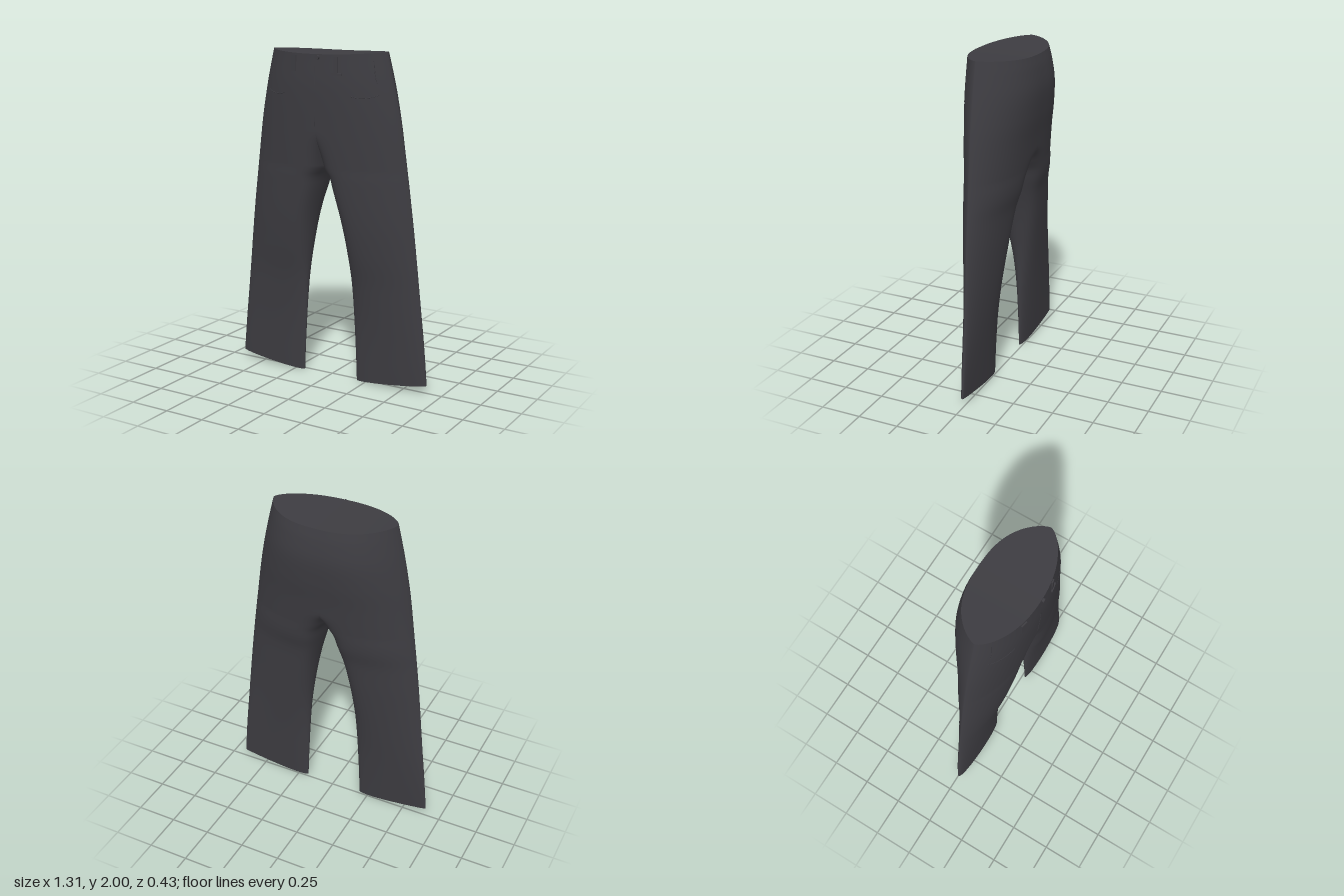
import * as THREE from 'three';

// Profiles by height: [y, value]
const OUTER = [[0, 0.655], [0.3, 0.63], [0.6, 0.6], [1, 0.556], [1.4, 0.502], [1.6, 0.472], [1.8, 0.432], [2, 0.384]];
const INNER = [[0, 0.188], [0.2, 0.18], [0.6, 0.157], [0.8, 0.135], [1, 0.102], [1.2, 0.05], [1.27, 0.03], [1.31, 0]];
const FRONT = [[0, 0.047], [0.3, 0.062], [0.6, 0.088], [0.8, 0.12], [1, 0.146], [1.3, 0.173], [1.55, 0.19], [1.8, 0.201], [2, 0.196]];
const BACK = [[0, -0.005], [0.3, -0.03], [0.6, -0.058], [0.9, -0.092], [1.1, -0.117], [1.2, -0.143], [1.3, -0.158], [1.5, -0.184], [1.65, -0.207], [1.8, -0.218], [1.93, -0.203], [2, -0.185]];
const CROTCH = 1.31;
const { clamp, lerp, smoothstep } = THREE.MathUtils;

// Smooth interpolation through a profile
function sample(table, y) {
  const last = table.length - 1;
  if (y >= table[last][0]) return table[last][1];
  let i = 0;
  while (i < last - 1 && y > table[i + 1][0]) i++;
  const slope = k => {
    const a = table[Math.max(k - 1, 0)], b = table[Math.min(k + 1, last)];
    return (b[1] - a[1]) / (b[0] - a[0]);
  };
  const [y0, v0] = table[i], [y1, v1] = table[i + 1];
  const h = y1 - y0, t = clamp((y - y0) / h, 0, 1), t2 = t * t, t3 = t2 * t;
  return (2 * t3 - 3 * t2 + 1) * v0 + (t3 - 2 * t2 + t) * h * slope(i)
    + (3 * t2 - 2 * t3) * v1 + (t3 - t2) * h * slope(i + 1);
}

// Point on the cloth: u runs from the inseam or centre (0) to the side seam (1)
function clothPoint(u, y, isFront) {
  const inner = y >= CROTCH ? 0 : Math.max(0, sample(INNER, y));
  const x = lerp(inner, sample(OUTER, y), u);
  // Side seam drifts back towards the hem
  const mid = lerp(0.02, 0.03, smoothstep(y, 1.2, 2)) - 0.014 * u * (1 - smoothstep(y, 0.2, 1.6));
  const power = lerp(0.35, 0.7, smoothstep(y, 0, 0.9));
  const side = Math.pow(Math.max(0, 1 - Math.pow(u, isFront ? 2.2 : 2.6)), power);
  // Thighs are full at the inseam, the halves join above the crotch
  const join = Math.sqrt(smoothstep(y, CROTCH, isFront ? 1.53 : 1.42));
  const fullness = lerp(4, 13, smoothstep(y, 0.3, 1.2));
  const inseam = join + (1 - join) * Math.sqrt(1 - Math.pow(1 - u, fullness));
  const z = mid + (sample(isFront ? FRONT : BACK, y) - mid) * side * inseam;
  // Hem rises towards the outside, waist dips at the middle
  const lift = 0.05 * Math.pow((x - inner) / 0.467, 1.2) * Math.max(0, 1 - y / 0.5);
  const dip = 0.014 * (1 - u * u) * smoothstep(y, 1.7, 2);
  return new THREE.Vector3(x, y + lift - dip, z);
}

const STEPS = 44;
const US = Array.from({ length: STEPS + 1 }, (_, i) => (1 - Math.cos(Math.PI * i / STEPS)) / 2);
const YS = [];
for (let i = 0; i < 44; i++) YS.push(CROTCH * i / 44);
for (let i = 0; i <= 36; i++) YS.push(CROTCH + (2 - CROTCH) * i / 36);

// Grid of rows of points turned into a surface
function loft(rows, flip) {
  const n = rows[0].length, pos = [], idx = [];
  rows.forEach(row => row.forEach(p => pos.push(p.x, p.y, p.z)));
  for (let j = 0; j < rows.length - 1; j++) {
    for (let i = 0; i < n - 1; i++) {
      const a = j * n + i, b = a + 1, c = a + n, d = c + 1;
      if (flip) idx.push(a, d, b, a, c, d);
      else idx.push(a, b, d, a, d, c);
    }
  }
  const geo = new THREE.BufferGeometry();
  geo.setAttribute('position', new THREE.Float32BufferAttribute(pos, 3));
  geo.setIndex(idx);
  geo.computeVertexNormals();
  return geo;
}

export function createModel() {
  const group = new THREE.Group();
  const cloth = new THREE.MeshStandardMaterial({ color: 0x3d3c41, side: THREE.DoubleSide });
  cloth.name = 'charcoal cloth';

  const add = (name, geo) => {
    const mesh = new THREE.Mesh(geo, cloth);
    mesh.name = name;
    group.add(mesh);
    return mesh;
  };
  const mirror = (p, s) => new THREE.Vector3(p.x * s, p.y, p.z);

  // Front surface point at a given x and y
  const onFront = (x, y, raise = 0) => {
    const p = clothPoint(Math.abs(x) / sample(OUTER, y), y, true);
    return new THREE.Vector3(x, p.y, p.z + raise);
  };
  const seam = (name, points) => {
    const curve = new THREE.CatmullRomCurve3(points.map(([x, y]) => onFront(x, y)));
    add(name, new THREE.TubeGeometry(curve, 20, 0.002, 6));
  };

  for (const s of [1, -1]) {
    const label = s > 0 ? 'left' : 'right';

    // Leg and hip half
    const rows = YS.map(y => [
      ...US.map(u => mirror(clothPoint(u, y, true), s)),
      ...US.slice(0, -1).reverse().map(u => mirror(clothPoint(u, y, false), s)),
    ]);
    add(label + 'Leg', loft(rows, s < 0));

    // Closed waist and hem
    const cap = y => [true, false].map(f => US.map(u => mirror(clothPoint(u, y, f), s)));
    add(label + 'WaistTop', loft(cap(2), s < 0));
    add(label + 'Hem', loft(cap(0), s > 0));

    // Pocket opening and pocket bag outline
    seam(label + 'PocketOpening', [[0.335, 1.955], [0.34, 1.92], [0.346, 1.88], [0.357, 1.83]].map(([x, y]) => [x * s, y]));
    seam(label + 'PocketOutline', [[0.375, 1.765], [0.34, 1.752], [0.3, 1.746], [0.26, 1.746], [0.22, 1.755]].map(([x, y]) => [x * s, y]));
  }

  // Belt loops, the left one narrower with a loose end
  for (const [name, x, w] of [['rightBeltLoop', -0.15, 0.04], ['leftBeltLoop', 0.135, 0.022]]) {
    const loop = add(name, new THREE.BoxGeometry(w, 0.09, 0.01));
    loop.position.copy(onFront(x, 1.94, 0.001));
    loop.rotation.y = Math.sign(x) * 0.2;
  }
  const tab = add('loopTab', new THREE.BoxGeometry(0.055, 0.014, 0.01));
  tab.position.copy(onFront(0.143, 1.885, 0.003));
  tab.rotation.y = 0.2;

  // Fly seam
  seam('flySeam', [[0, 1.93], [0, 1.8], [-0.003, 1.68], [-0.005, 1.57]]);

  // Waist button
  const button = add('waistButton', new THREE.CylinderGeometry(0.013, 0.013, 0.014, 16));
  button.rotation.x = Math.PI / 2;
  button.position.copy(onFront(0.02, 1.982, 0.006));

  return group;
}
